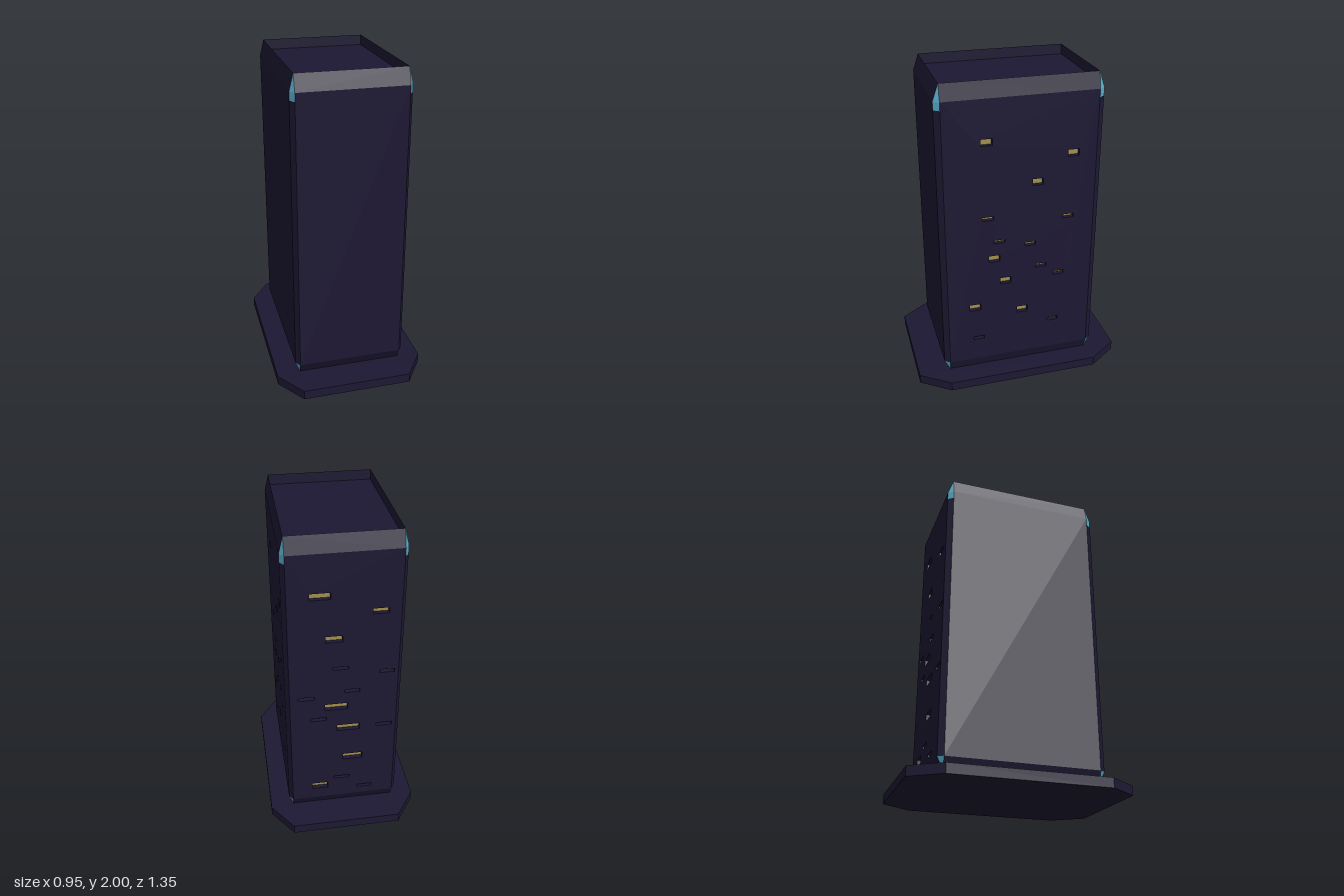
import * as THREE from 'three';

const dark = new THREE.MeshStandardMaterial({ color: 0x1d1833, flatShading: true });
const blue = new THREE.MeshStandardMaterial({ color: 0x58abc9, flatShading: true });
const amber = new THREE.MeshStandardMaterial({ color: 0xa3904e, flatShading: true });

// Tower half sizes (outer faces, inner edges) and heights
const OX = 0.355, OZ = 0.505, IX = 0.33, IZ = 0.47;
const Y0 = 0.06, Y1 = 0.13, Y2 = 1.85, Y3 = 1.9, Y4 = 2, FLOOR = 1.935;
const DEPTH = 0.03;

// Windows on each lit side: [across, height, width, tall]
const rightWindows = [
  [0.21, 1.64, 0.07, 0.042], [-0.325, 1.522, 0.07, 0.042], [-0.105, 1.358, 0.065, 0.042],
  [0.205, 1.15, 0.07, 0.024], [-0.305, 1.105, 0.07, 0.024], [0.135, 0.985, 0.07, 0.022],
  [-0.063, 0.942, 0.07, 0.024], [0.167, 0.868, 0.07, 0.044], [-0.135, 0.777, 0.07, 0.024],
  [0.095, 0.70, 0.07, 0.044], [-0.252, 0.705, 0.07, 0.024], [0.295, 0.528, 0.07, 0.044],
  [-0.015, 0.465, 0.07, 0.044], [-0.225, 0.352, 0.07, 0.024], [0.275, 0.292, 0.07, 0.022],
];
const backWindows = [
  [0.14, 1.64, 0.12, 0.042], [-0.21, 1.522, 0.095, 0.035], [0.06, 1.355, 0.1, 0.042],
  [0.02, 1.15, 0.095, 0.02], [-0.26, 1.105, 0.09, 0.022], [0.23, 0.945, 0.1, 0.022],
  [-0.05, 0.98, 0.095, 0.022], [0.045, 0.868, 0.14, 0.044], [0.157, 0.78, 0.1, 0.022],
  [-0.03, 0.70, 0.14, 0.044], [-0.256, 0.70, 0.1, 0.022], [-0.06, 0.46, 0.125, 0.044],
  [0.15, 0.23, 0.1, 0.044], [0.01, 0.288, 0.1, 0.02], [-0.144, 0.192, 0.095, 0.02],
];

// Flat polygons turned to face away from the tower's centre (or towards it)
function facets(name, polygons, material, inward = false) {
  const positions = [];
  const centre = new THREE.Vector3(0, 1, 0);
  for (const polygon of polygons) {
    const p = polygon.map((c) => new THREE.Vector3(...c));
    for (let i = 1; i < p.length - 1; i++) {
      let [a, b, c] = [p[0], p[i], p[i + 1]];
      const normal = b.clone().sub(a).cross(c.clone().sub(a));
      if ((normal.dot(a.clone().sub(centre)) < 0) !== inward) [b, c] = [c, b];
      for (const v of [a, b, c]) positions.push(v.x, v.y, v.z);
    }
  }
  const geometry = new THREE.BufferGeometry();
  geometry.setAttribute('position', new THREE.Float32BufferAttribute(positions, 3));
  geometry.computeVertexNormals();
  const mesh = new THREE.Mesh(geometry, material);
  mesh.name = name;
  return mesh;
}

const rectangle = (path, x, y, w, h) => path.moveTo(x - w / 2, y - h / 2)
  .lineTo(x + w / 2, y - h / 2).lineTo(x + w / 2, y + h / 2)
  .lineTo(x - w / 2, y + h / 2).closePath();

// Wall pierced by windows, with glowing panes at the back of each opening
function windowWall(name, halfWidth, windows) {
  const wall = new THREE.Group();
  wall.name = name;
  const shape = rectangle(new THREE.Shape(), 0, (Y1 + Y3) / 2, halfWidth * 2, Y3 - Y1);
  for (const [x, y, w, h] of windows) {
    shape.holes.push(rectangle(new THREE.Path(), -x, y, w, h));
    const pane = new THREE.Mesh(new THREE.PlaneGeometry(w, h), amber);
    pane.position.set(-x, y, 0.001);
    pane.name = 'windowPane';
    wall.add(pane);
  }
  const panel = new THREE.Mesh(
    new THREE.ExtrudeGeometry(shape, { depth: DEPTH, bevelEnabled: false }), dark);
  panel.name = 'wallPanel';
  wall.add(panel);
  return wall;
}

export function createModel() {
  const model = new THREE.Group();
  model.name = 'towerBuilding';

  // Base plate with cut corners
  const outline = [[0.475, 0.488], [0.345, 0.675], [-0.345, 0.675], [-0.475, 0.488],
    [-0.475, -0.488], [-0.345, -0.675], [0.345, -0.675], [0.475, -0.488]];
  const plate = new THREE.ExtrudeGeometry(
    new THREE.Shape(outline.map(([x, z]) => new THREE.Vector2(x, z))),
    { depth: Y0, bevelEnabled: false });
  plate.rotateX(-Math.PI / 2);
  const base = new THREE.Mesh(plate, dark);
  base.name = 'basePlate';
  model.add(base);

  const walls = [], slopes = [], corners = [], accents = [], recess = [];
  for (const s of [1, -1]) {
    const alongX = (y, z) => [[-IX, y, s * z], [IX, y, s * z]];
    const alongZ = (y, x) => [[s * x, y, -IZ], [s * x, y, IZ]];
    const band = (a, b) => [a[0], a[1], b[1], b[0]];
    // Sloped bands at the top and foot
    slopes.push(
      band(alongX(Y3, OZ), alongX(Y4, IZ)), band(alongX(Y0, IZ), alongX(Y1, OZ)),
      band(alongZ(Y3, OX), alongZ(Y4, IX)), band(alongZ(Y0, IX), alongZ(Y1, OX)));
    // Plain front and left-hand walls
    if (s > 0) walls.push(band(alongX(Y1, OZ), alongX(Y3, OZ)));
    else walls.push(band(alongZ(Y1, OX), alongZ(Y3, OX)));
    // Inner sides of the roof recess
    recess.push(band(alongX(FLOOR, IZ), alongX(Y4, IZ)), band(alongZ(FLOOR, IX), alongZ(Y4, IX)));
    // Bevelled corners with coloured tips
    for (const t of [1, -1]) {
      const a = (y) => [s * IX, y, t * OZ];
      const b = (y) => [s * OX, y, t * IZ];
      const tip = (y) => [s * IX, y, t * IZ];
      corners.push([a(Y1), b(Y1), b(Y2), a(Y2)]);
      accents.push([a(Y2), b(Y2), b(Y3), a(Y3)], [a(Y3), b(Y3), tip(Y4)], [a(Y1), b(Y1), tip(Y0)]);
    }
  }
  model.add(
    facets('plainWalls', walls, dark),
    facets('slopedBands', slopes, dark),
    facets('cornerBevels', corners, dark),
    facets('cornerAccents', accents, blue),
    facets('roofRecessSides', recess, dark, true));

  // Roof sunk below the rim
  const roof = new THREE.Mesh(new THREE.PlaneGeometry(IX * 2, IZ * 2), dark);
  roof.rotation.x = -Math.PI / 2;
  roof.position.y = FLOOR;
  roof.name = 'roof';
  model.add(roof);

  // Lit walls
  const right = windowWall('sideWindowWall', IZ, rightWindows);
  right.rotation.y = Math.PI / 2;
  right.position.x = OX - DEPTH;
  const back = windowWall('backWindowWall', IX, backWindows);
  back.rotation.y = Math.PI;
  back.position.z = -(OZ - DEPTH);
  model.add(right, back);

  return model;
}
